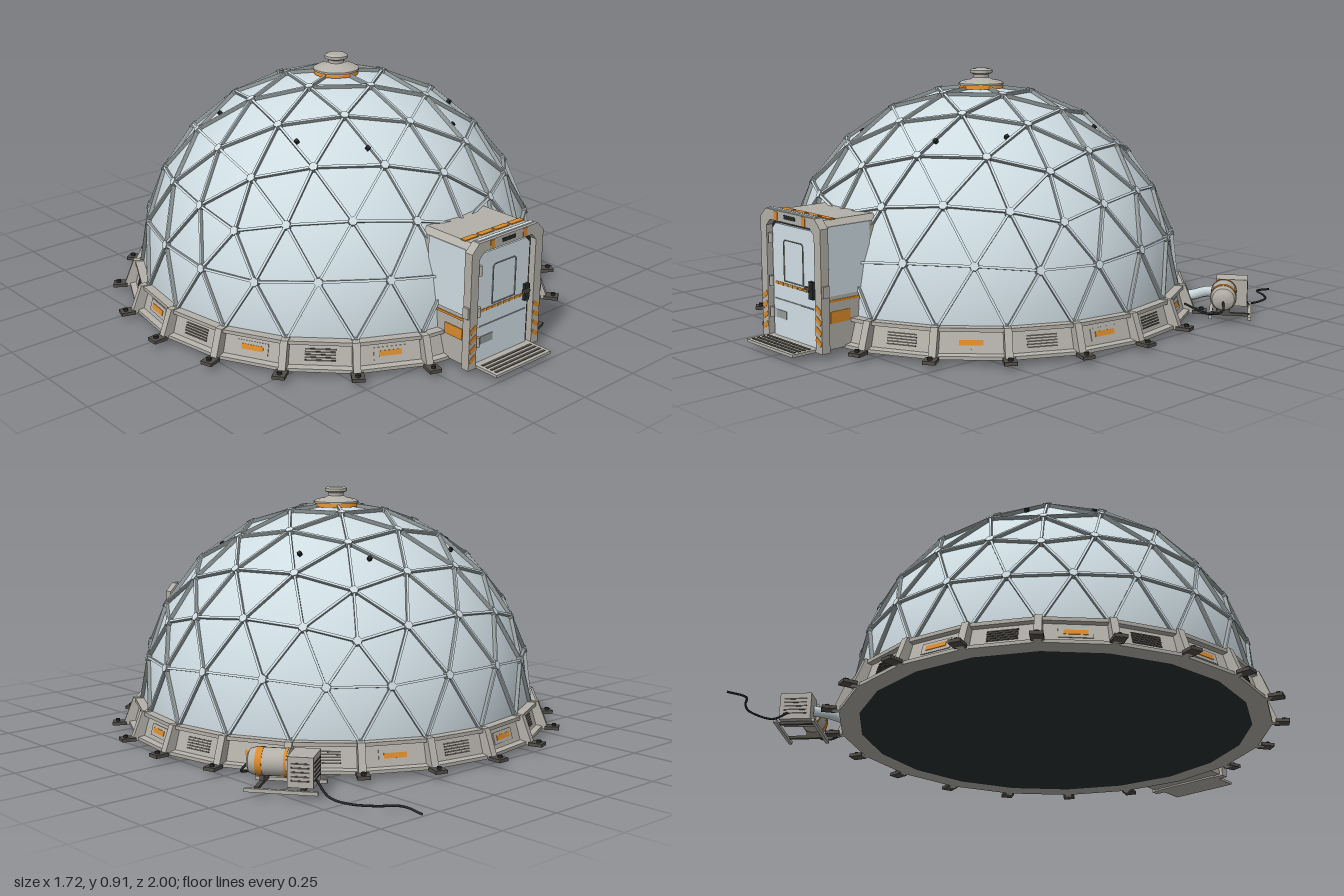
import * as THREE from 'three';
import { mergeGeometries, toCreasedNormals } from 'three/addons/utils/BufferGeometryUtils.js';

const mat = (name, color, side = THREE.FrontSide) => {
  const m = new THREE.MeshStandardMaterial({ color, side });
  m.name = name;
  return m;
};
const V = (x, y, z) => new THREE.Vector3(x, y, z);

export function createModel() {
  const panel = mat('pale blue panel', 0xcfdde3);
  const strutGrey = mat('strut grey', 0x959d9c);
  const grey = mat('base grey', 0xb3b0a8);
  const dark = mat('dark metal', 0x524e49);
  const black = mat('black rubber', 0x25292a);
  const floorMat = mat('floor', 0x283031, THREE.DoubleSide);
  const orange = mat('orange', 0xdb8a2a);
  const doorMat = mat('door blue', 0xd8e6ed);

  const model = new THREE.Group();
  const add = (parent, name, geo, m, x = 0, y = 0, z = 0) => {
    const mesh = new THREE.Mesh(geo, m);
    mesh.name = name;
    mesh.position.set(x, y, z);
    parent.add(mesh);
    return mesh;
  };
  const group = (name, parent = model) => {
    const g = new THREE.Group();
    g.name = name;
    parent.add(g);
    return g;
  };
  const box = (parent, name, m, w, h, d, x, y, z) => add(parent, name, new THREE.BoxGeometry(w, h, d), m, x, y, z);
  const lathe = (pts, n) => new THREE.LatheGeometry(pts.map(([r, y]) => new THREE.Vector2(r, y)), n);
  const poly = (pts) => new THREE.Shape(pts.map(([x, y]) => new THREE.Vector2(x, y)));
  const tube = (pts, r) => new THREE.TubeGeometry(new THREE.CatmullRomCurve3(pts), 24, r, 8);

  // Geodesic dome: upper half of a four-frequency icosahedron, one vertex up
  const R = 0.735, BASE = 0.112;
  const dome = group('dome');
  dome.position.y = BASE;
  const ico = new THREE.IcosahedronGeometry(R, 3);
  ico.rotateX(-Math.atan((1 + Math.sqrt(5)) / 2));
  const src = ico.attributes.position;
  const skin = [], normals = [], nodes = new Map(), edges = new Map();
  const key = (v) => v.toArray().map((c) => Math.round(c * 1000) + 0).join(',');
  for (let i = 0; i < src.count; i += 3) {
    const tri = [0, 1, 2].map((k) => new THREE.Vector3().fromBufferAttribute(src, i + k));
    if (tri.some((v) => v.y < -0.01)) continue;
    tri.forEach((v, k) => {
      skin.push(...v.toArray());
      normals.push(...v.clone().normalize().toArray());
      const w = tri[(k + 1) % 3];
      nodes.set(key(v), v);
      edges.set([key(v), key(w)].sort().join('|'), [v, w]);
    });
  }
  const skinGeo = new THREE.BufferGeometry();
  skinGeo.setAttribute('position', new THREE.Float32BufferAttribute(skin, 3));
  skinGeo.setAttribute('normal', new THREE.Float32BufferAttribute(normals, 3));
  add(dome, 'domePanels', skinGeo, panel);

  // Raised struts along every edge, each with a pale cover strip on top
  const strips = (width, height, lift) => mergeGeometries([...edges.values()].map(([a, b]) => {
    const dir = b.clone().sub(a), mid = a.clone().add(b).multiplyScalar(0.5);
    const g = new THREE.BoxGeometry(width, height, dir.length());
    const z = dir.normalize(), y = mid.clone().normalize(), x = y.clone().cross(z);
    mid.addScaledVector(y, lift);
    return g.applyMatrix4(new THREE.Matrix4().makeBasis(x, y, z).setPosition(mid));
  }));
  add(dome, 'domeStruts', strips(0.008, 0.014, 0.004), strutGrey);
  add(dome, 'strutCovers', strips(0.0084, 0.002, 0.0115), panel);

  // Hexagonal hub caps
  const hubGeo = new THREE.CylinderGeometry(0.016, 0.018, 0.022, 6);
  for (const v of nodes.values()) {
    const hub = add(dome, 'hubCap', hubGeo, [strutGrey, panel, panel]);
    const n = v.clone().normalize();
    hub.position.copy(n).multiplyScalar(R + 0.003);
    hub.quaternion.setFromUnitVectors(V(0, 1, 0), n);
  }
  // Small sensors
  for (const sx of [-1, 1]) for (const [x, z] of [[0.37, -0.22], [0.37, 0.22], [0.205, -0.4], [0.205, 0.4]]) {
    const s = box(dome, 'sensor', black, 0.013, 0.014, 0.013, sx * x, Math.sqrt(R * R - x * x - z * z), z);
    s.quaternion.setFromUnitVectors(V(0, 1, 0), s.position.clone().normalize());
  }

  // Roof vent
  const vent = group('roofVent');
  add(vent, 'ventBand', new THREE.CylinderGeometry(0.078, 0.082, 0.014, 32), orange, 0, 0.847, 0);
  add(vent, 'ventCap', toCreasedNormals(lathe([[0.084, 0.853], [0.084, 0.86], [0.07, 0.868], [0.042, 0.873], [0.028, 0.88],
    [0.028, 0.891], [0.042, 0.897], [0.042, 0.907], [0.032, 0.913], [0, 0.913]], 32), 0.5), grey);

  // Twenty-sided foundation ring and floor
  const base = group('foundation');
  const ring = lathe([[0.715, 0.02], [0.79, 0.02], [0.79, 0.032], [0.768, 0.036], [0.748, 0.104],
    [0.766, 0.108], [0.766, 0.121], [0.715, 0.121]], 20).toNonIndexed();
  ring.computeVertexNormals();
  add(base, 'foundationRing', ring, grey);
  add(base, 'floor', new THREE.CircleGeometry(0.74, 20).rotateX(Math.PI / 2), floorMat, 0, 0.023, 0);

  // Ribs with anchor feet at the corners, leaving out the doorway
  const ribGeo = new THREE.ExtrudeGeometry(poly([[0.74, 0.02], [0.812, 0.02], [0.806, 0.036], [0.772, 0.124], [0.74, 0.124]]),
    { depth: 0.026, bevelEnabled: false }).translate(0, 0, -0.013);
  for (let i = 1; i < 20; i++) {
    const rib = group('anchorRib', base);
    rib.rotation.y = i * Math.PI / 10 - Math.PI / 2;
    add(rib, 'rib', ribGeo, grey);
    box(rib, 'foot', dark, 0.052, 0.012, 0.044, 0.825, 0.026, 0);
    add(rib, 'anchorBolt', new THREE.CylinderGeometry(0.009, 0.009, 0.01, 6), black, 0.832, 0.036, 0);
  }

  // Orange plates and louvres alternate on the sloped ring faces, except beside the door
  for (let i = 1; i < 19; i++) {
    const holder = group('ringFace', base);
    holder.rotation.y = (9 + 18 * i) * Math.PI / 180;
    const face = group('ringDetail', holder);
    face.position.set(0, 0.07, 0.758 * Math.cos(Math.PI / 20));
    face.rotation.x = -0.286;
    if (i % 2 === 0) {
      box(face, 'servicePlate', grey, 0.115, 0.042, 0.006, 0, 0, 0);
      box(face, 'orangePlate', orange, 0.08, 0.018, 0.006, 0, 0, 0.002);
    } else for (let j = -2; j <= 2; j++) box(face, 'louvre', dark, 0.105, 0.005, 0.006, 0, j * 0.0095, 0);
  }

  // Entrance: chamfered body and portal frame
  const entry = group('entrance');
  const arch = (w, y0, y1, c) => [[-w, y0], [w, y0], [w, y1 - c], [w - c, y1], [-w + c, y1], [-w, y1 - c]];
  const extrude = (shape, depth) => new THREE.ExtrudeGeometry(shape, { depth, bevelEnabled: false });
  add(entry, 'entranceBody', extrude(poly(arch(0.16, 0.026, 0.462, 0.02)), 0.24), grey, 0, 0, 0.6);
  const frameShape = poly(arch(0.174, 0.02, 0.472, 0.032));
  frameShape.holes.push(poly(arch(0.138, 0.028, 0.436, 0.022)));
  add(entry, 'portalFrame', extrude(frameShape, 0.032), grey, 0, 0, 0.838);
  add(entry, 'doorSeal', extrude(poly(arch(0.139, 0.026, 0.437, 0.022)), 0.006), black, 0, 0, 0.84);
  add(entry, 'door', extrude(poly(arch(0.124, 0.026, 0.424, 0.02)), 0.012), doorMat, 0, 0, 0.844);

  // Door window, seams, dashes and handle
  const rim = poly(arch(0.057, 0.228, 0.373, 0.008));
  rim.holes.push(poly(arch(0.054, 0.231, 0.37, 0.006)));
  add(entry, 'windowRim', extrude(rim, 0.003), strutGrey, 0, 0, 0.856);
  box(entry, 'doorSeam', strutGrey, 0.225, 0.004, 0.003, 0, 0.16, 0.857);
  for (let i = 0; i < 8; i++) box(entry, 'doorDash', orange, 0.02, 0.01, 0.003, -0.1 + i * 0.0275, 0.217, 0.857);
  box(entry, 'handlePlate', black, 0.022, 0.06, 0.012, 0.11, 0.225, 0.862);
  box(entry, 'handle', dark, 0.03, 0.01, 0.01, 0.1, 0.232, 0.871);
  box(entry, 'noticePlate', strutGrey, 0.06, 0.028, 0.003, -0.078, 0.108, 0.857);
  for (const y of [0.11, 0.22, 0.37])
    add(entry, 'hinge', new THREE.CylinderGeometry(0.008, 0.008, 0.035, 10), grey, -0.126, y, 0.862);
  box(entry, 'headerPlate', black, 0.065, 0.014, 0.003, 0, 0.455, 0.87);
  box(entry, 'headerLight', doorMat, 0.27, 0.008, 0.014, 0, 0.472, 0.852);

  for (const s of [-1, 1]) {
    box(entry, 'headerMark', orange, 0.02, 0.03, 0.003, s * 0.08, 0.454, 0.87);
    for (let i = 0; i < 4; i++) // slanted warning stripes
      box(entry, 'warningStripe', orange, 0.034, 0.016, 0.003, s * 0.156, 0.06 + i * 0.036, 0.87).rotation.z = -s * 0.55;
    box(entry, 'sidePanel', panel, 0.006, 0.235, 0.17, s * 0.16, 0.325, 0.745);
    box(entry, 'sideOrange', orange, 0.006, 0.04, 0.08, s * 0.16, 0.135, 0.785);
    box(entry, 'sideSeam', orange, 0.006, 0.008, 0.17, s * 0.16, 0.19, 0.745);
    box(entry, 'frameClamp', grey, 0.012, 0.04, 0.024, s * 0.176, 0.23, 0.855);
  }
  for (let i = 0; i < 4; i++) box(entry, 'roofDash', orange, 0.064, 0.004, 0.022, -0.112 + i * 0.0747, 0.463, 0.798);

  // Grated step
  box(entry, 'step', grey, 0.272, 0.01, 0.13, 0, 0.025, 0.898);
  for (let i = 0; i < 4; i++) box(entry, 'stepSlot', dark, 0.245, 0.004, 0.01, 0, 0.03, 0.885 + i * 0.02);

  // Generator on skids beside the ring
  const gen = group('generator');
  gen.rotation.y = 0.632;
  const unit = group('generatorUnit', gen);
  unit.position.x = 0.912;
  const tank = lathe([[0, -0.04], [0.046, -0.04], [0.046, 0.075], [0.04, 0.093], [0.025, 0.102], [0, 0.105]], 24).rotateX(Math.PI / 2);
  add(unit, 'tank', toCreasedNormals(tank, 0.7), grey, 0, 0.095, 0);
  for (const [z, width] of [[-0.03, 0.01], [0.058, 0.022]])
    add(unit, 'tankBand', new THREE.CylinderGeometry(0.0475, 0.0475, width, 24).rotateX(Math.PI / 2), orange, 0, 0.095, z);
  box(unit, 'powerBox', grey, 0.115, 0.1, 0.085, 0.028, 0.088, -0.09);
  for (let j = 0; j < 5; j++) {
    box(unit, 'boxLouvre', dark, 0.004, 0.005, 0.06, 0.085, 0.06 + j * 0.014, -0.09);
    box(unit, 'boxLouvre', dark, 0.085, 0.005, 0.004, 0.028, 0.06 + j * 0.014, -0.132);
  }
  for (const x of [-0.045, 0.095]) box(unit, 'skid', grey, 0.012, 0.012, 0.24, x, 0.026, -0.03);
  for (const z of [-0.1, 0.05]) {
    box(unit, 'crossBar', dark, 0.14, 0.01, 0.014, 0.025, 0.032, z);
    box(unit, 'saddle', dark, 0.05, 0.03, 0.014, 0, 0.045, z);
  }
  // Air duct, hose and trailing cable
  add(unit, 'airDuct', tube([V(-0.17, 0.075, -0.015), V(-0.12, 0.08, -0.02), V(-0.075, 0.085, -0.055), V(-0.025, 0.085, -0.085)], 0.02), panel);
  add(unit, 'hose', tube([V(0, 0.09, 0.1), V(0, 0.06, 0.125), V(-0.05, 0.045, 0.115), V(-0.14, 0.06, 0.04)], 0.004), black);
  add(model, 'cable', tube([V(0.7, 0.06, -0.68), V(0.705, 0.02, -0.74), V(0.705, 0.018, -0.84), V(0.655, 0.015, -0.9),
    V(0.588, 0.012, -0.95), V(0.583, 0.004, -1.035)], 0.004), black);

  model.position.set(-0.013, 0, 0.037);
  const root = new THREE.Group();
  root.name = 'domeHabitat';
  root.add(model);
  return root;
}
